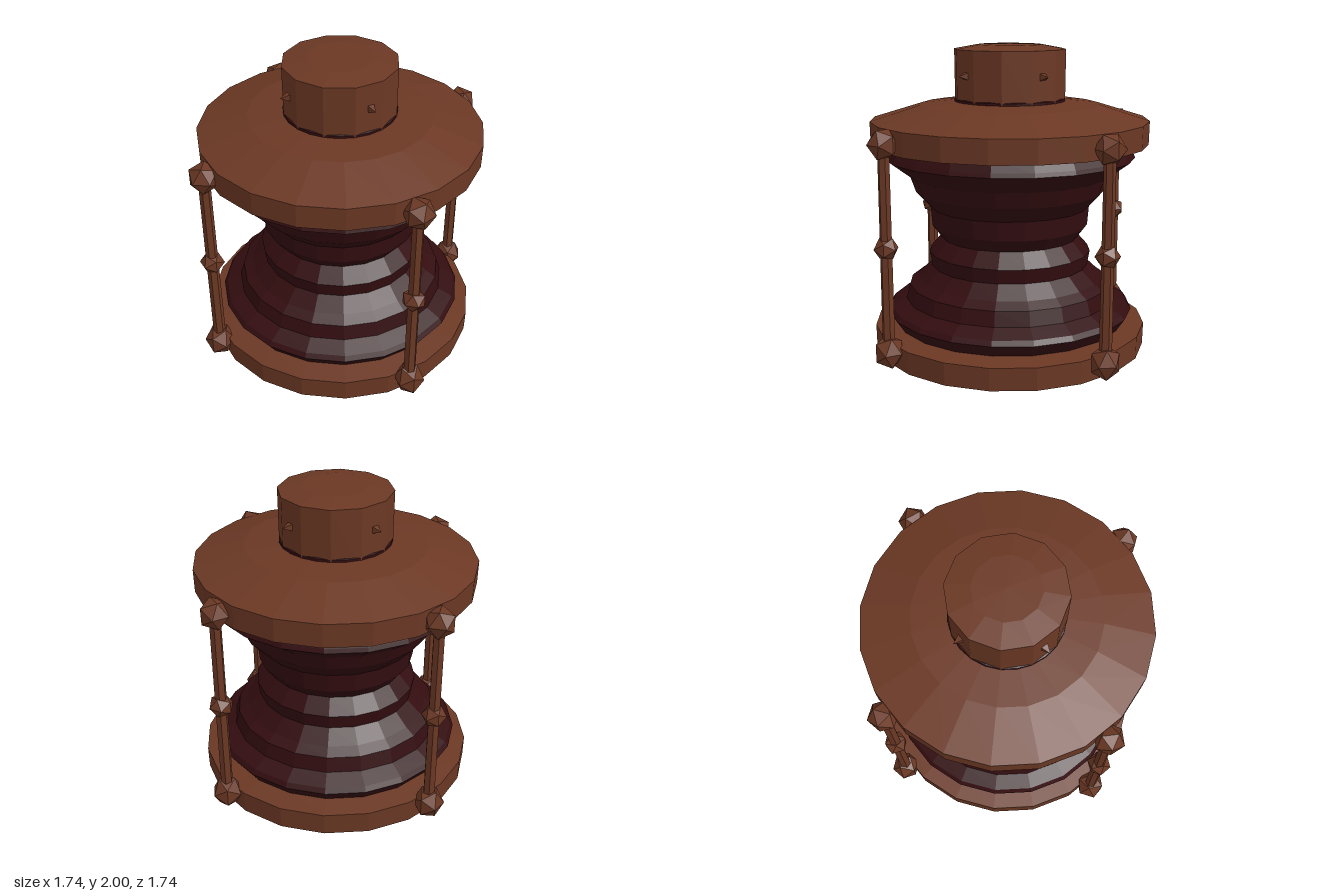
import * as THREE from 'three';

export function createModel() {
  const model = new THREE.Group();
  const wood = new THREE.MeshStandardMaterial({ color: 0x6b3824, flatShading: true });
  wood.name = 'brown wood';
  const leather = new THREE.MeshStandardMaterial({ color: 0x330d10, flatShading: true });
  leather.name = 'dark red leather';

  const add = (name, geometry, material, parent = model) => {
    const mesh = new THREE.Mesh(geometry, material);
    mesh.name = name;
    parent.add(mesh);
    return mesh;
  };
  // Profiles are [radius, height] pairs running from bottom to top
  const lathe = (name, profile, sides, material) => add(name,
    new THREE.LatheGeometry(profile.map(([r, y]) => new THREE.Vector2(r, y)), sides), material);

  // End plates
  lathe('bottomPlate', [[0, 0], [0.25, 0.014], [0.56, 0.04], [0.865, 0.09],
    [0.868, 0.23], [0.72, 0.25], [0, 0.25]], 20, wood);
  lathe('topPlate', [[0, 1.38], [0.72, 1.38], [0.865, 1.39], [0.868, 1.535],
    [0.56, 1.63], [0.3, 1.655], [0, 1.66]], 20, wood);

  // Pleated waist
  lathe('bellows', [[0.72, 0.23], [0.785, 0.325], [0.765, 0.355], [0.67, 0.4],
    [0.645, 0.49], [0.585, 0.53], [0.5, 0.61], [0.515, 0.7], [0.435, 0.79],
    [0.495, 0.87], [0.505, 0.99], [0.595, 1.09], [0.63, 1.19], [0.785, 1.305],
    [0.775, 1.33], [0.74, 1.4]], 20, leather);

  // Cap with a thin seam at its foot
  lathe('cap', [[0.345, 1.6], [0.348, 1.968], [0.2, 1.995], [0, 2]], 12, wood);
  lathe('capSeam', [[0.345, 1.62], [0.345, 1.665], [0.33, 1.672]], 24, leather);

  // Four corner posts with knobs, and four studs on the cap
  for (const sx of [-1, 1]) for (const sz of [-1, 1]) {
    const post = new THREE.Group();
    post.name = 'post';
    post.position.set(sx * 0.625, 0, sz * 0.645);
    model.add(post);
    add('rod', new THREE.CylinderGeometry(0.035, 0.038, 1.26, 6), wood, post).position.y = 0.83;
    [['bottomKnob', 0.2, 0.096, 1.12], ['middleKnob', 0.84, 0.076, 0.95], ['topKnob', 1.455, 0.096, 1.02]]
      .forEach(([name, y, r, stretch], i) => {
        const geometry = new THREE.IcosahedronGeometry(r, 0);
        geometry.rotateY(i + sx * 0.4 + sz * 0.2).scale(1, stretch, 1);
        add(name, geometry, wood, post).position.y = y;
      });

    const stud = add('stud', new THREE.ConeGeometry(0.05, 0.09, 4), wood);
    stud.position.set(sx * 0.25, 1.815, sz * 0.235);
    stud.quaternion.setFromUnitVectors(new THREE.Vector3(0, 1, 0), new THREE.Vector3(sx, 0, sz).normalize());
  }
  return model;
}
